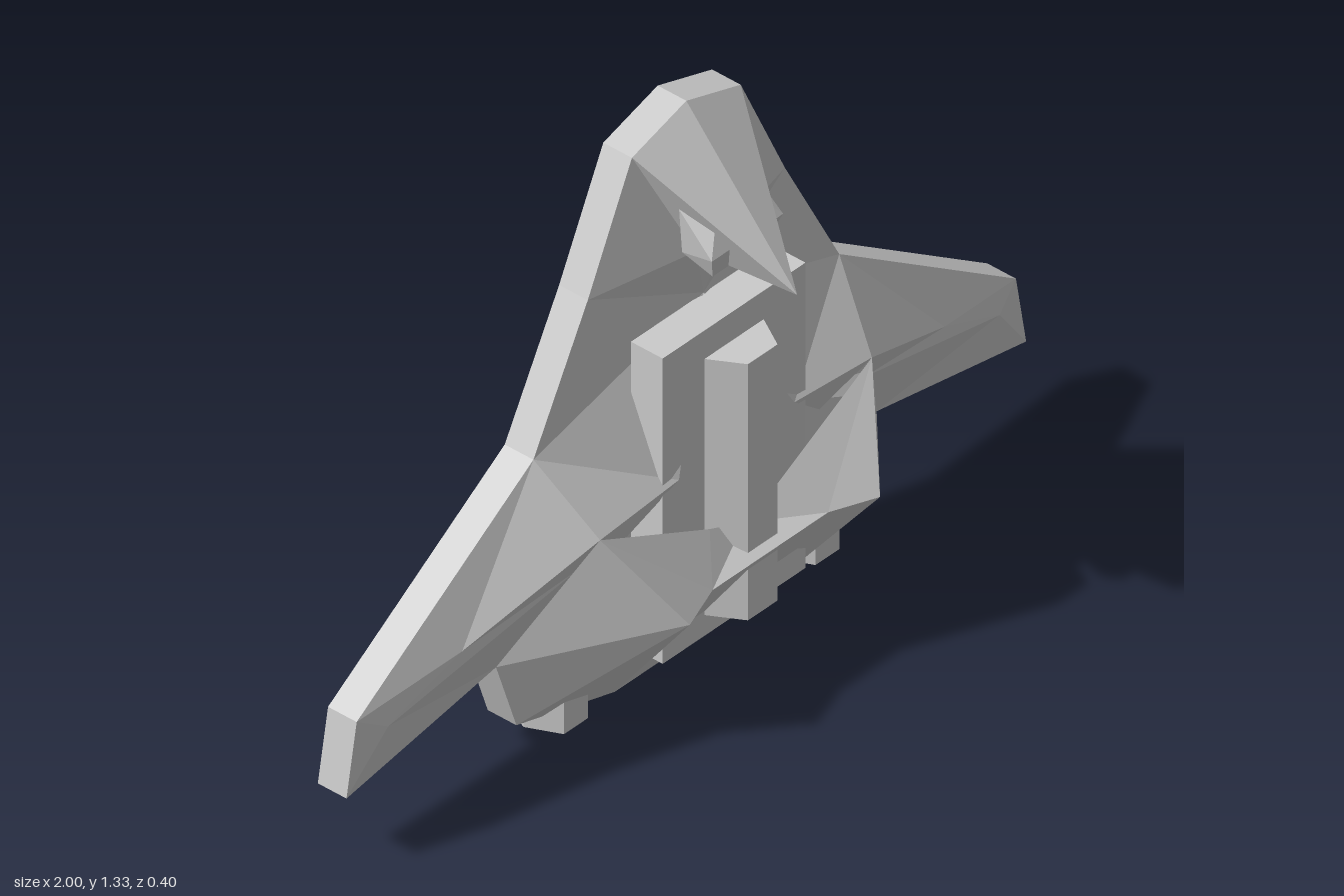
import * as THREE from 'three';
import { ConvexGeometry } from 'three/addons/geometries/ConvexGeometry.js';

const grey = new THREE.MeshStandardMaterial({ color: 0xcccccc, flatShading: true, side: THREE.DoubleSide });

// Half outline of the craft, from nose to tail centre
const outline = [[0, 1.325], [0.16, 1.275], [0.29, 1], [0.45, 0.7], [0.97, 0.35], [1, 0.18],
  [0.56, 0.255], [0.5, 0.08], [0.21, 0], [0, 0]];
const FRONT = -0.09, BACK = -0.165;

const points = {
  // front shell
  tip: [0, 0.995, 0.2], chin: [0, 1.02, -0.015], jaw: [0.05, 1.02, -0.02], neck: [0, 0.88, -0.045],
  flap: [0.17, 0.56, 0.042], gap: [0.29, 0.455, 0], shoulder: [0.4, 0.54, 0.04],
  rib: [0.71, 0.4, -0.045], root: [0.42, 0.46, 0.0], wing: [0.9, 0.31, -0.07],
  peak: [0.28, 0.33, 0.168], lip: [0.17, 0.335, 0.13], lipMid: [0, 0.335, 0.13],
  shelf: [0.1, 0.41, 0.06], shelfMid: [0, 0.37, 0.06],
  // back shell
  barb: [0, 1, -0.2], barbSide: [0.04, 1.03, -0.17], barbMid: [0, 1.03, -0.168],
  apex: [0, 0.8, -0.178], corner: [0.29, 0.46, -0.18], sill: [0.1, 0.38, -0.185],
  sillMid: [0, 0.37, -0.185], bump: [0.37, 0.33, -0.195],
};
outline.forEach(([x, y], i) => {
  points['f' + i] = [x, y, FRONT];
  points['b' + i] = [x, y, BACK];
});

// Builds triangles from point names and mirrors them to the other side
function panels(name, faces) {
  const pos = [];
  for (const face of faces) {
    const tri = face.split(' ').map((n) => points[n]);
    tri.forEach((p) => pos.push(...p));
    [...tri].reverse().forEach(([x, y, z]) => pos.push(-x, y, z));
  }
  const g = new THREE.BufferGeometry();
  g.setAttribute('position', new THREE.Float32BufferAttribute(pos, 3));
  g.computeVertexNormals();
  return part(name, g);
}

function part(name, geometry, x = 0, y = 0, z = 0) {
  const m = new THREE.Mesh(geometry, grey);
  m.name = name;
  m.position.set(x, y, z);
  return m;
}

// Upright six-sided prism with flat front and back
function hexPrism(name, rx, rz, height, x, y, z) {
  const g = new THREE.CylinderGeometry(1, 1, height, 6);
  g.rotateY(Math.PI / 2);
  const box = new THREE.Box3().setFromBufferAttribute(g.attributes.position);
  g.scale(rx / box.max.x, 1, rz / box.max.z);
  return part(name, g, x, y, z);
}

export function createModel() {
  const model = new THREE.Group();
  model.name = 'craft';

  // Nose beak and neck
  model.add(panels('beak', ['f0 tip f1', 'f1 tip jaw', 'tip chin jaw']));
  model.add(panels('neck', ['f1 jaw f2', 'jaw chin neck', 'jaw neck f2', 'f2 neck f3',
    'neck flap f3', 'flap shoulder f3', 'flap gap shoulder']));

  // Wings
  model.add(panels('wingFront', ['shoulder rib f3', 'rib f4 f3', 'rib wing f4', 'shoulder root rib',
    'root wing rib', 'wing f5 f4', 'root f6 wing', 'f6 f5 wing']));

  // Faceted mounds and the shelf between them
  model.add(panels('mound', ['shoulder peak f6', 'shoulder f6 root', 'peak f7 f6', 'peak f8 f7',
    'peak lip f8', 'lip lipMid f9', 'lip f9 f8']));
  model.add(panels('shelf', ['peak shoulder lip', 'lip shoulder shelf', 'lip shelf shelfMid', 'lip shelfMid lipMid']));

  // Rim wall around the outline
  const rim = [];
  for (let i = 0; i < outline.length - 1; i++) {
    rim.push(`f${i} f${i + 1} b${i + 1}`, `f${i} b${i + 1} b${i}`);
  }
  model.add(panels('rim', rim));

  // Shallow back shell with its opening and small barb
  model.add(panels('backShell', ['b0 b1 barb', 'b1 barbSide barb', 'barbSide barbMid barb', 'b1 b2 barbSide',
    'b2 apex barbSide', 'barbSide apex barbMid', 'b2 b3 apex', 'b3 corner apex', 'b3 b4 corner',
    'b4 bump corner', 'b4 b5 bump', 'b5 b6 bump', 'b6 b7 bump', 'b7 b8 bump', 'b8 sill bump',
    'bump sill corner', 'b8 b9 sill', 'b9 sillMid sill']));

  // Faceted lump under the beak
  const lump = [new THREE.Vector3(0, 1.2, 0)];
  for (const s of [-1, 1]) {
    for (const [x, y, z] of [[0.1, 1.15, -0.02], [0.105, 1.07, 0.07], [0.08, 1.01, 0.05], [0.08, 1.03, -0.03]]) {
      lump.push(new THREE.Vector3(s * x, y, z));
    }
  }
  model.add(part('headLump', new ConvexGeometry(lump)));

  // Central plate and column
  model.add(part('plate', new THREE.BoxGeometry(0.42, 0.745, 0.083), 0, 0.5025, -0.0065));
  model.add(hexPrism('column', 0.087, 0.075, 0.625, 0, 0.493, 0.035));

  // Tail thrusters
  for (const s of [-1, 1]) {
    model.add(hexPrism('thruster', 0.07, 0.075, 0.11, s * 0.37, 0.08, -0.125));
  }
  return model;
}
